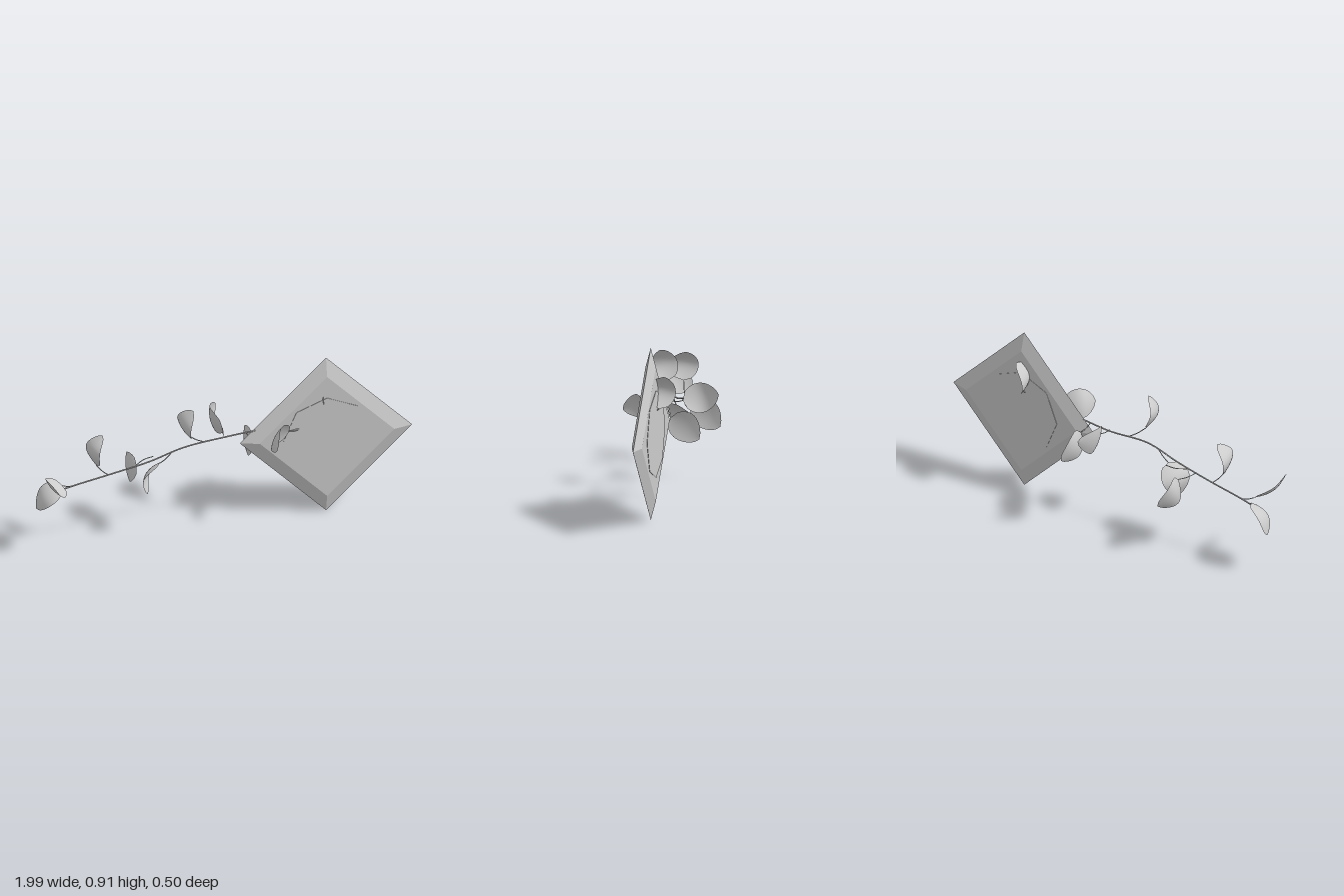
import * as THREE from 'three';

const V = (a) => new THREE.Vector3(...a);
const grey = () => new THREE.MeshStandardMaterial({ color: 0xcccccc });

// Gently cupped oval leaf from base to tip, bulging towards the hint direction
function leafGeometry(base, tip, hint, halfWidth, bend = 0.05, cup = 0.012) {
  const b = V(base), along = V(tip).sub(b);
  const dir = along.clone().normalize();
  const side = new THREE.Vector3().crossVectors(V(hint), dir).normalize();
  const normal = new THREE.Vector3().crossVectors(dir, side);
  const geo = new THREE.PlaneGeometry(2, 1, 8, 14);
  const pos = geo.attributes.position;
  for (let i = 0; i < pos.count; i++) {
    const u = pos.getX(i), t = pos.getY(i) + 0.5;
    const w = Math.pow(Math.sin(Math.PI * Math.pow(t, 0.8)), 0.62) || 0;
    const p = b.clone().addScaledVector(along, t)
      .addScaledVector(side, u * w * halfWidth)
      .addScaledVector(normal, bend * Math.sin(Math.PI * t) - cup * u * u * w);
    pos.setXYZ(i, p.x, p.y, p.z);
  }
  geo.computeVertexNormals();
  return geo;
}

function tube(points, radius, segments) {
  const curve = new THREE.CatmullRomCurve3(points.map(V));
  return new THREE.TubeGeometry(curve, segments, radius, 6);
}

export function createModel() {
  const model = new THREE.Group();
  const add = (name, geo, mat = grey()) => {
    const mesh = new THREE.Mesh(geo, mat);
    mesh.name = name;
    model.add(mesh);
    return mesh;
  };

  // Diamond plaque, bevelled to a sharp rim
  const profile = [[0, -0.027], [0.355, -0.027], [0.455, 0], [0.355, 0.027], [0, 0.027]];
  const plaqueGeo = new THREE.LatheGeometry(profile.map((p) => new THREE.Vector2(...p)), 4).toNonIndexed();
  plaqueGeo.rotateX(Math.PI / 2);
  plaqueGeo.computeVertexNormals();
  const flat = grey();
  flat.flatShading = true;
  add('plaque', plaqueGeo, flat).position.set(0.543, 0.455, 0);

  // Barely raised eight-sided disc on both faces
  const disc = new THREE.CylinderGeometry(0.23, 0.23, 0.058, 8);
  disc.rotateX(Math.PI / 2);
  add('raisedDisc', disc, flat).position.set(0.543, 0.455, 0);

  // Main stem, running into the plaque
  add('stem', tube([[-0.88, 0.335, 0.07], [-0.8, 0.355, 0.068], [-0.6, 0.395, 0.06],
    [-0.4, 0.44, 0.055], [-0.22, 0.495, 0.045], [0, 0.507, 0.008], [0.22, 0.525, 0],
    [0.42, 0.52, 0], [0.5, 0.55, 0]], 0.004, 60));

  // Leaves: where the stalk leaves the stem, leaf base, leaf tip, bulge side, half width, bend
  const leaves = [
    ['upperEndLeaf', [-0.8, 0.355, 0.068], [-0.87, 0.375, 0.09], [-0.96, 0.475, 0.245], [-0.7, -0.7, 0], 0.07, 0.03],
    ['lowerEndLeaf', [-0.84, 0.345, 0.07], [-0.87, 0.355, 0.065], [-0.995, 0.22, 0.03], [-0.65, 0.6, 0.35], 0.07, 0.035],
    ['outerUpperLeaf', [-0.62, 0.39, 0.06], [-0.69, 0.47, 0.08], [-0.65, 0.63, 0.06], [-0.96, 0, 0.28], 0.075],
    ['rearDroopLeaf', [-0.52, 0.415, 0.058], [-0.455, 0.385, -0.01], [-0.435, 0.29, -0.165], [-1, 0, 0], 0.078],
    ['frontDroopLeaf', [-0.28, 0.48, 0.05], [-0.345, 0.42, 0.05], [-0.41, 0.245, 0.055], [-0.9, 0, -0.42], 0.078],
    ['innerUpperLeaf', [-0.11, 0.505, 0.025], [-0.2, 0.575, 0.06], [-0.18, 0.74, 0.1], [-0.95, 0, 0.3], 0.073],
    ['rearSideLeaf', [0, 0.515, 0.008], [0.01, 0.52, -0.06], [0.015, 0.56, -0.25], [-0.98, -0.18, 0], 0.078],
    ['rearLowLeaf', [0.12, 0.515, 0], [0.16, 0.46, -0.025], [0.175, 0.355, -0.18], [-1, 0, 0], 0.08, 0.035],
    ['frontPlaqueLeaf', [0.4, 0.52, 0.027], [0.335, 0.525, 0.055], [0.24, 0.51, 0.21], [-0.9, 0.4, -0.4], 0.078],
    ['rearPlaqueLeaf', [0.51, 0.57, 0], [0.52, 0.585, -0.04], [0.545, 0.76, -0.07], [-0.94, 0, 0.33], 0.08],
  ];
  for (const [name, from, base, tip, hint, width, bend] of leaves) {
    const mat = grey();
    mat.side = THREE.DoubleSide;
    add(name, leafGeometry(base, tip, hint, width, bend), mat);
    const mid = V(from).lerp(V(base), 0.5);
    add(name + 'Stalk', tube([from, [mid.x, mid.y - 0.006, mid.z], base], 0.0025, 8));
  }

  // Bare twig crossing the stem, and the stub of the stalk at the plaque
  add('bareTwig', tube([[-0.47, 0.425, 0.05], [-0.42, 0.43, 0.01], [-0.37, 0.435, 0]], 0.0025, 8));
  add('plaqueStub', tube([[0.335, 0.52, 0.045], [0.37, 0.52, 0.036], [0.4, 0.52, 0.025]], 0.004, 8));

  return model;
}
